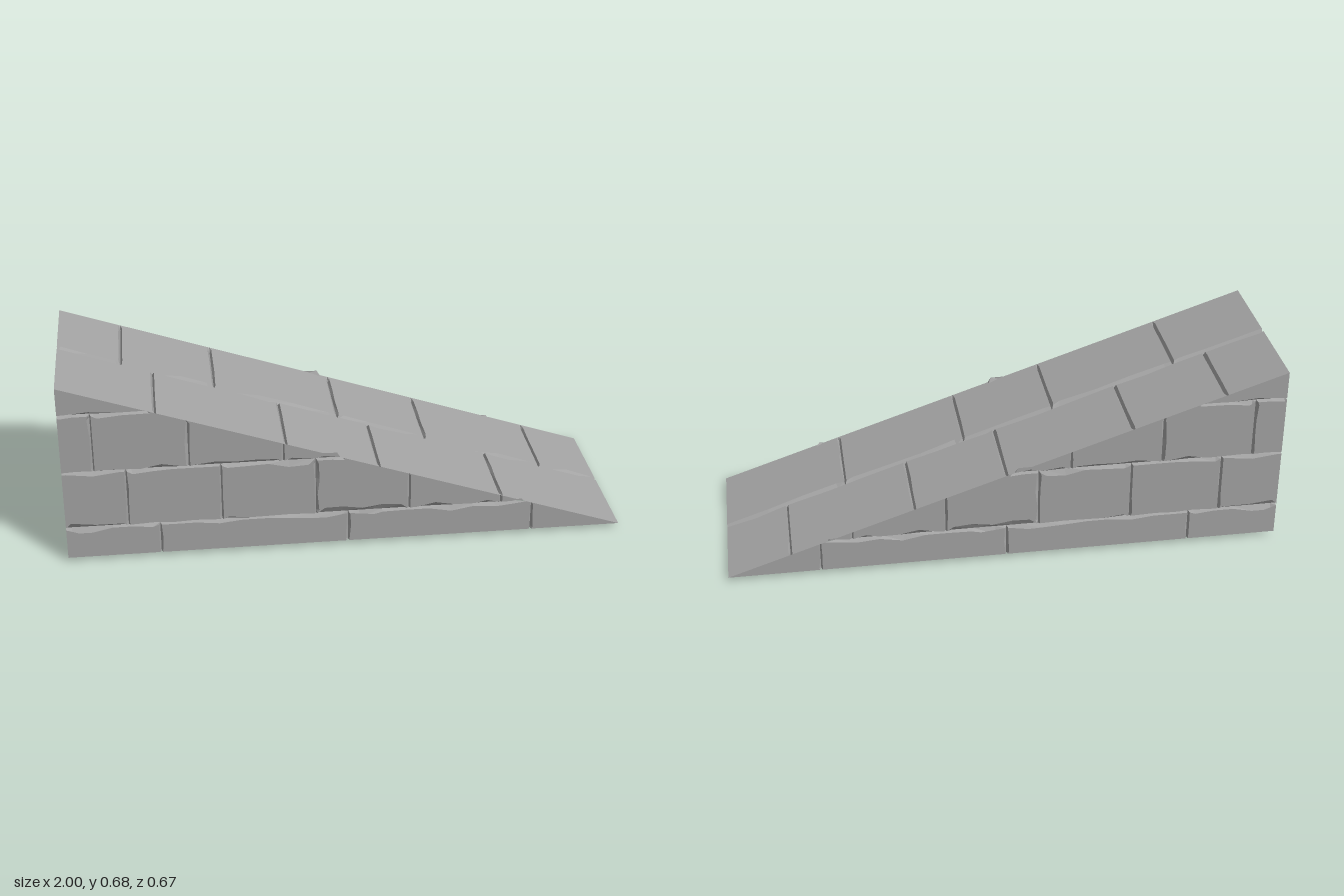
import * as THREE from 'three';

const HALF = 0.333, BASE = 0.016, TOP = 0.683;
const slope = (x) => BASE + ((1 - x) / 2) * (TOP - BASE);

// Edge kinds: w = bevel width, chip = extra random wear, step = wear spacing,
// closed = groove fades out there
const OPEN = { w: 0 };
const CLOSED = { w: 0, closed: true };
const SLAB_JOINT = { w: 0.006, chip: 0.003, step: 0.12 };
const WALL_JOINT = { w: 0.005, chip: 0.008, step: 0.08 };
const BED = { w: 0.004, chip: 0.022, step: 0.09 };
const SPINE = { w: 0.01, chip: 0.012, step: 0.13 };

// Small seeded random generator
function seeded(seed) {
  let s = seed;
  return () => {
    s = (s * 16807) % 2147483647;
    return s / 2147483647;
  };
}

// Rectangle whose edges carry their kind: bottom, right, top, left
function rectangle(x0, x1, y0, y1, kinds) {
  return [[x0, y0], [x1, y0], [x1, y1], [x0, y1]]
    .map(([x, y], i) => ({ x, y, kind: kinds[i] }));
}

// Cut away everything above the ramp line
function clipToSlope(poly) {
  const out = [];
  poly.forEach((a, i) => {
    const b = poly[(i + 1) % poly.length];
    const da = slope(a.x) - a.y, db = slope(b.x) - b.y;
    const aIn = da >= -1e-6, bIn = db >= -1e-6;
    if (aIn) out.push(a);
    if (aIn !== bIn) {
      const t = da / (da - db);
      out.push({
        x: a.x + (b.x - a.x) * t,
        y: a.y + (b.y - a.y) * t,
        kind: aIn ? CLOSED : a.kind,
      });
    }
  });
  return out.filter((a, i) => {
    const b = out[(i + 1) % out.length];
    return Math.hypot(b.x - a.x, b.y - a.y) > 1e-3;
  });
}

// Corner of the raised face: where two neighbouring edges meet after moving inward
function insetCorner(e, f) {
  const det = e.nx * f.ny - e.ny * f.nx;
  return {
    x: (e.c * f.ny - f.c * e.ny) / det,
    y: (e.nx * f.c - f.nx * e.c) / det,
  };
}

// One stone: a flat face with worn bevels running down into the grooves
function addStone(tris, poly, depth, place, flip, random) {
  const n = poly.length;
  if (n < 3) return;
  const tri = (a, b, c) => {
    for (const p of flip ? [a, c, b] : [a, b, c]) tris.push(...place(p.x, p.y, p.d));
  };
  const edges = poly.map((a, i) => {
    const b = poly[(i + 1) % n];
    const len = Math.hypot(b.x - a.x, b.y - a.y);
    const nx = -(b.y - a.y) / len, ny = (b.x - a.x) / len;
    return { nx, ny, len, c: nx * a.x + ny * a.y + a.kind.w };
  });
  const inner = edges.map((e, i) => ({ ...insetCorner(edges[(i + n - 1) % n], e), d: 0 }));
  const outer = poly.map((a, i) => {
    const before = poly[(i + n - 1) % n].kind;
    const sunk = (a.kind.w || before.w) && !a.kind.closed && !before.closed;
    return { x: a.x, y: a.y, d: sunk ? depth : 0 };
  });

  const rim = [];
  for (let i = 0; i < n; i++) {
    const j = (i + 1) % n, e = edges[i], { w, chip, step } = poly[i].kind;
    const high = [inner[i]], low = [outer[i]];
    if (w) {
      const cuts = Math.max(2, Math.round(e.len / step));
      for (let k = 0; k <= cuts; k++) {
        const t = 0.06 + (0.88 * k) / cuts;
        const wear = chip * random() ** 3 * Math.min(1, e.len / 0.2);
        high.push({
          x: THREE.MathUtils.lerp(inner[i].x, inner[j].x, t) + e.nx * wear,
          y: THREE.MathUtils.lerp(inner[i].y, inner[j].y, t) + e.ny * wear,
          d: 0,
        });
        low.push({
          x: THREE.MathUtils.lerp(outer[i].x, outer[j].x, t),
          y: THREE.MathUtils.lerp(outer[i].y, outer[j].y, t),
          d: depth,
        });
      }
    }
    rim.push(...high);
    high.push(inner[j]);
    low.push(outer[j]);
    if (!w) continue;
    for (let k = 0; k < high.length - 1; k++) {
      tri(low[k], low[k + 1], high[k + 1]);
      tri(low[k], high[k + 1], high[k]);
    }
  }

  // Flat face as a fan around the middle
  const mid = { x: 0, y: 0, d: 0 };
  for (const p of inner) {
    mid.x += p.x / n;
    mid.y += p.y / n;
  }
  rim.forEach((p, i) => tri(mid, p, rim[(i + 1) % rim.length]));
}

function makeMesh(name, tris) {
  const geometry = new THREE.BufferGeometry();
  geometry.setAttribute('position', new THREE.Float32BufferAttribute(tris, 3));
  geometry.computeVertexNormals();
  const material = new THREE.MeshStandardMaterial({
    color: 0xa3a3a3, flatShading: true, side: THREE.DoubleSide,
  });
  const mesh = new THREE.Mesh(geometry, material);
  mesh.name = name;
  return mesh;
}

// Split a course of stones at its joints
function forEachStone(joints, kind, build) {
  const xs = [-1, ...joints, 1];
  for (let i = 0; i < xs.length - 1; i++) {
    build(xs[i], xs[i + 1], i === 0 ? OPEN : kind, i === xs.length - 2 ? OPEN : kind);
  }
}

// Sloping walkway: two rows of slabs either side of a central groove
function makeRamp() {
  const tris = [], random = seeded(71);
  const place = (x, v, d) => [x, slope(x) - d, -v];
  forEachStone([-0.67, -0.22, 0.11, 0.555], SLAB_JOINT, (a, b, left, right) =>
    addStone(tris, rectangle(a, b, -HALF, 0, [CLOSED, right, SPINE, left]), 0.015, place, false, random));
  forEachStone([-0.78, -0.45, 0, 0.33, 0.775], SLAB_JOINT, (a, b, left, right) =>
    addStone(tris, rectangle(a, b, 0, HALF, [SPINE, right, CLOSED, left]), 0.015, place, false, random));
  return makeMesh('rampSurface', tris);
}

// Side wall: staggered courses cut off by the ramp line
function makeWall(name, side) {
  const tris = [], random = seeded(19);
  const beds = [BASE, 0.133, 0.355, 0.578, 0.8];
  const courses = [
    [-0.67, 0, 0.67],
    [-0.78, -0.45, -0.115, 0.22, 0.555],
    [-0.89, -0.56, -0.23],
    [],
  ];
  const place = (x, y, d) => [x, y, side * (HALF - d)];
  courses.forEach((joints, row) => forEachStone(joints, WALL_JOINT, (a, b, left, right) => {
    const kinds = [row === 0 ? OPEN : BED, right, BED, left];
    const stone = clipToSlope(rectangle(a, b, beds[row], beds[row + 1], kinds));
    addStone(tris, stone, 0.013, place, side < 0, random);
  }));
  return makeMesh(name, tris);
}

export function createModel() {
  const group = new THREE.Group();
  group.name = 'stoneRamp';
  group.add(makeRamp(), makeWall('frontWall', 1), makeWall('backWall', -1));
  return group;
}
